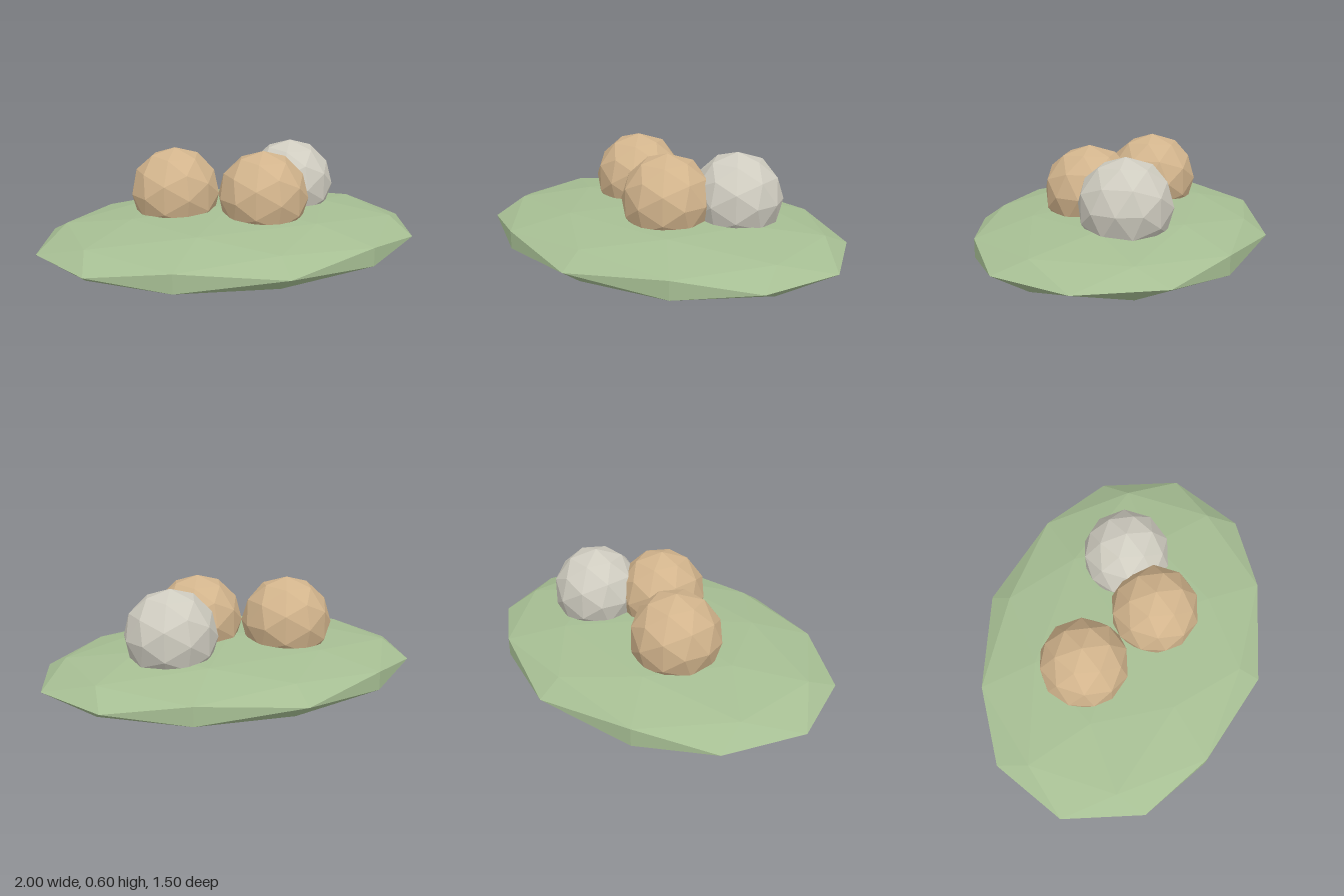
import * as THREE from 'three';

const material = (name, color) => {
  const m = new THREE.MeshStandardMaterial({ color, flatShading: true });
  m.name = name;
  return m;
};

export function createModel() {
  const group = new THREE.Group();
  group.name = 'leafWithPebbles';

  const green = material('leafGreen', 0xa6be93);
  const tan = material('pebbleTan', 0xd2b48c);
  const grey = material('pebbleGrey', 0xcfccc0);

  // Faceted ball, optionally squashed into an ellipsoid
  const addBall = (name, mat, [x, y, z], [rx, ry, rz]) => {
    const geometry = new THREE.IcosahedronGeometry(1, 1).scale(rx, ry, rz);
    geometry.computeVertexNormals();
    const mesh = new THREE.Mesh(geometry, mat);
    mesh.name = name;
    mesh.position.set(x, y, z);
    group.add(mesh);
  };

  // Flat oval base
  addBall('base', green, [0, 0.15, 0], [1, 0.15, 0.75]);

  // Three pebbles sunk into the base
  const r = [0.23, 0.23, 0.23];
  addBall('rightPebble', tan, [-0.26, 0.37, -0.12], r);
  addBall('frontPebble', tan, [0.125, 0.37, 0.13], r);
  addBall('leftPebble', grey, [0.38, 0.37, -0.105], r);

  return group;
}
